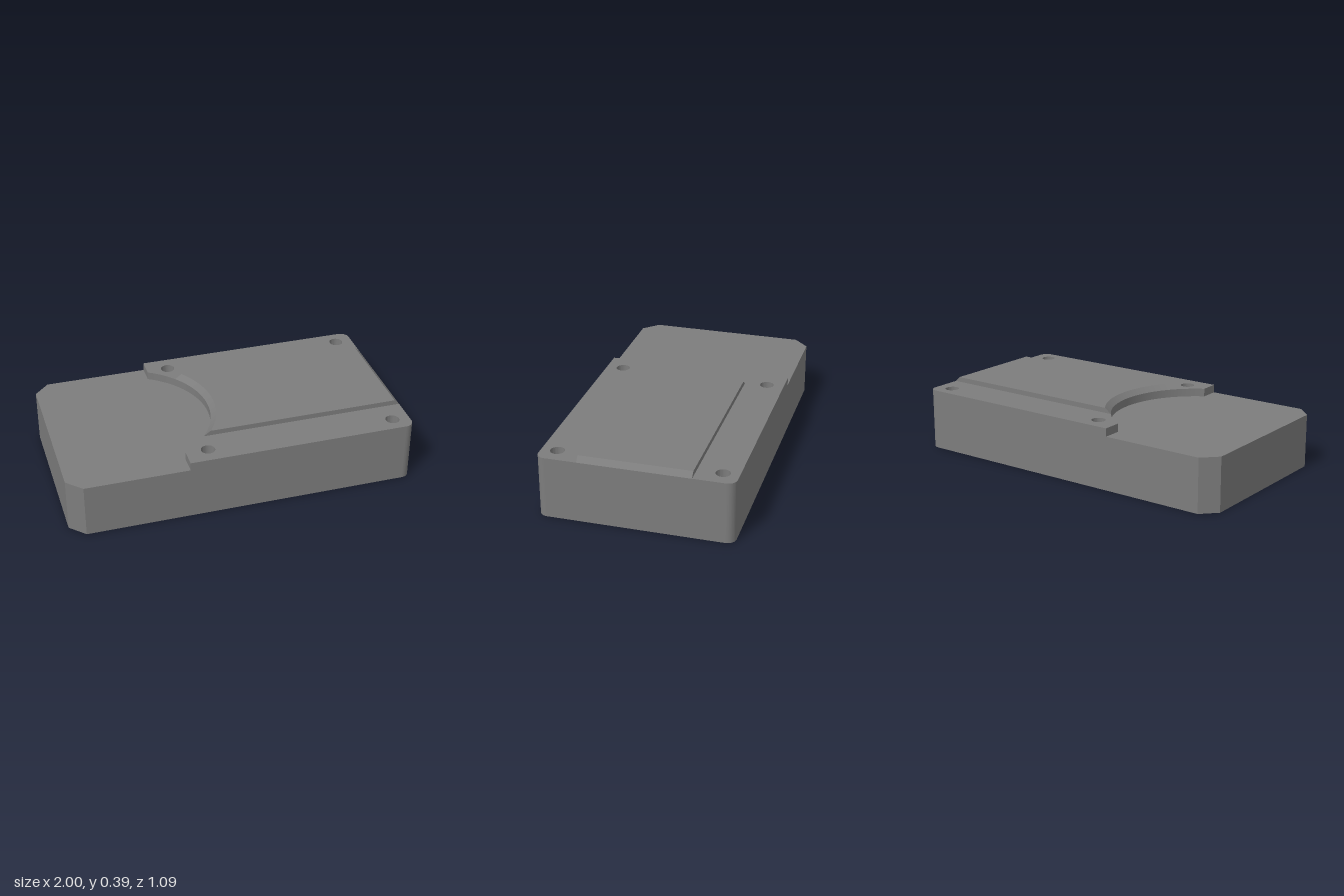
import * as THREE from 'three';
import { mergeGeometries, toCreasedNormals } from 'three/addons/utils/BufferGeometryUtils.js';

const DECK = 0.31, TOP = 0.357, PAD = 0.386;  // heights of the three levels
const W = 0.545, PAD_W = 0.315;               // half widths
const STEP_X = -0.32, CHAMFER = 0.085, FILLET = 0.05;
const ARC_X = -0.573, ARC_R = 0.503;          // round scoop in the step
const HOLE_R = 0.04, HOLE_FLOOR = 0.16;
const HOLES = [[-0.193, 0.445], [-0.193, -0.445], [0.9, 0.455], [0.9, -0.455]];

// Plan points [x, y], with y pointing to the back (-z)
const arc = (cx, cy, r, a0, a1, n) => Array.from({ length: n + 1 }, (_, i) => {
  const a = a0 + (a1 - a0) * i / n;
  return [cx + r * Math.cos(a), cy + r * Math.sin(a)];
});
const toShape = (pts) => new THREE.Shape(pts.map(([x, y]) => new THREE.Vector2(x, y)));

// Flat horizontal face from a plan outline
function cap(pts, y, up = true, holes = []) {
  const shape = toShape(pts);
  shape.holes = holes.map(toShape);
  const g = new THREE.ShapeGeometry(shape);
  g.rotateX(up ? -Math.PI / 2 : Math.PI / 2);   // outlines are symmetric front to back
  return g.translate(0, y, 0).toNonIndexed();
}

// Wall between a lower and an upper row of plan points, facing right of travel
function wall(low, y0, y1, high = low) {
  const pos = [];
  for (let i = 0; i < low.length - 1; i++) {
    const a = [low[i][0], y0, -low[i][1]], b = [low[i + 1][0], y0, -low[i + 1][1]];
    const c = [high[i + 1][0], y1, -high[i + 1][1]], d = [high[i][0], y1, -high[i][1]];
    pos.push(...a, ...b, ...c, ...a, ...c, ...d);
  }
  const g = new THREE.BufferGeometry();
  g.setAttribute('position', new THREE.Float32BufferAttribute(pos, 3));
  return g;
}

// Stepped long side of the body
function longSide(back) {
  const s = back ? -1 : 1;
  const pts = [[CHAMFER - 1, 0], [1 - FILLET, 0], [1 - FILLET, TOP], [STEP_X, TOP], [STEP_X, DECK], [CHAMFER - 1, DECK]];
  const g = new THREE.ShapeGeometry(toShape(pts.map(([x, y]) => [s * x, y])));
  g.translate(0, 0, W);
  if (back) g.rotateY(Math.PI);
  return g.toNonIndexed();
}

// Each part is smoothed on its own, so flat faces stay evenly shaded
function makeMesh(name, parts, material) {
  const smoothed = parts.map((g) => {
    g.deleteAttribute('uv');
    g.deleteAttribute('normal');
    return toCreasedNormals(g, 0.5);
  });
  const mesh = new THREE.Mesh(mergeGeometries(smoothed), material);
  mesh.name = name;
  return mesh;
}

export function createModel() {
  const model = new THREE.Group();
  model.name = 'steppedBlock';
  const material = new THREE.MeshStandardMaterial({ color: 0x7c7c7c });

  // Outlines: rounded right end, chamfered left end, scooped step
  const f = 1 - FILLET, fy = W - FILLET;
  const frontFillet = arc(f, -fy, FILLET, -Math.PI / 2, 0, 16);
  const backFillet = arc(f, fy, FILLET, 0, Math.PI / 2, 16);
  const rightEnd = [...frontFillet, ...backFillet];
  const leftEnd = [[CHAMFER - 1, W], [-1, W - CHAMFER], [-1, CHAMFER - W], [CHAMFER - 1, -W]];
  const sweep = Math.acos((STEP_X - ARC_X) / ARC_R);
  const scoop = arc(ARC_X, 0, ARC_R, sweep, -sweep, 48);
  const stepFace = [[STEP_X, W], ...scoop, [STEP_X, -W]];
  const holeLoops = HOLES.map(([x, y]) => arc(x, y, HOLE_R, 2 * Math.PI, 0, 32));
  const openLoops = holeLoops.map((loop) => loop.slice(0, -1));

  // Body with low deck and higher scooped step
  model.add(makeMesh('body', [
    cap([...rightEnd, ...leftEnd], 0, false),
    cap([...[...stepFace].reverse(), ...leftEnd], DECK),
    cap([...rightEnd, ...stepFace], TOP, true, openLoops),
    wall(frontFillet, 0, TOP),
    wall([[1, -fy], [1, fy]], 0, TOP),
    wall(backFillet, 0, TOP),
    wall(leftEnd, 0, DECK),
    wall(stepFace, DECK, TOP),
    longSide(false), longSide(true),
  ], material));

  // Blind screw holes
  holeLoops.forEach((loop, i) => {
    const [x, y] = HOLES[i];
    const floor = new THREE.CircleGeometry(HOLE_R, 32).rotateX(-Math.PI / 2).translate(x, HOLE_FLOOR, -y);
    model.add(makeMesh('screwHole' + (i + 1), [wall(loop, HOLE_FLOOR, TOP), floor.toNonIndexed()], material));
  });

  // Raised pad, bevelled along the scoop and the right end
  const padLoop = (x, r) => {
    const a = Math.asin(PAD_W / r);
    return [[x, -PAD_W], [x, PAD_W], ...arc(ARC_X, 0, r, a, -a, 32), [x, -PAD_W]];
  };
  const low = padLoop(1, ARC_R), high = padLoop(0.97, ARC_R + 0.032);
  model.add(makeMesh('raisedPad', [wall(low, TOP, PAD, high), cap(high.slice(0, -1), PAD)], material));

  return model;
}
